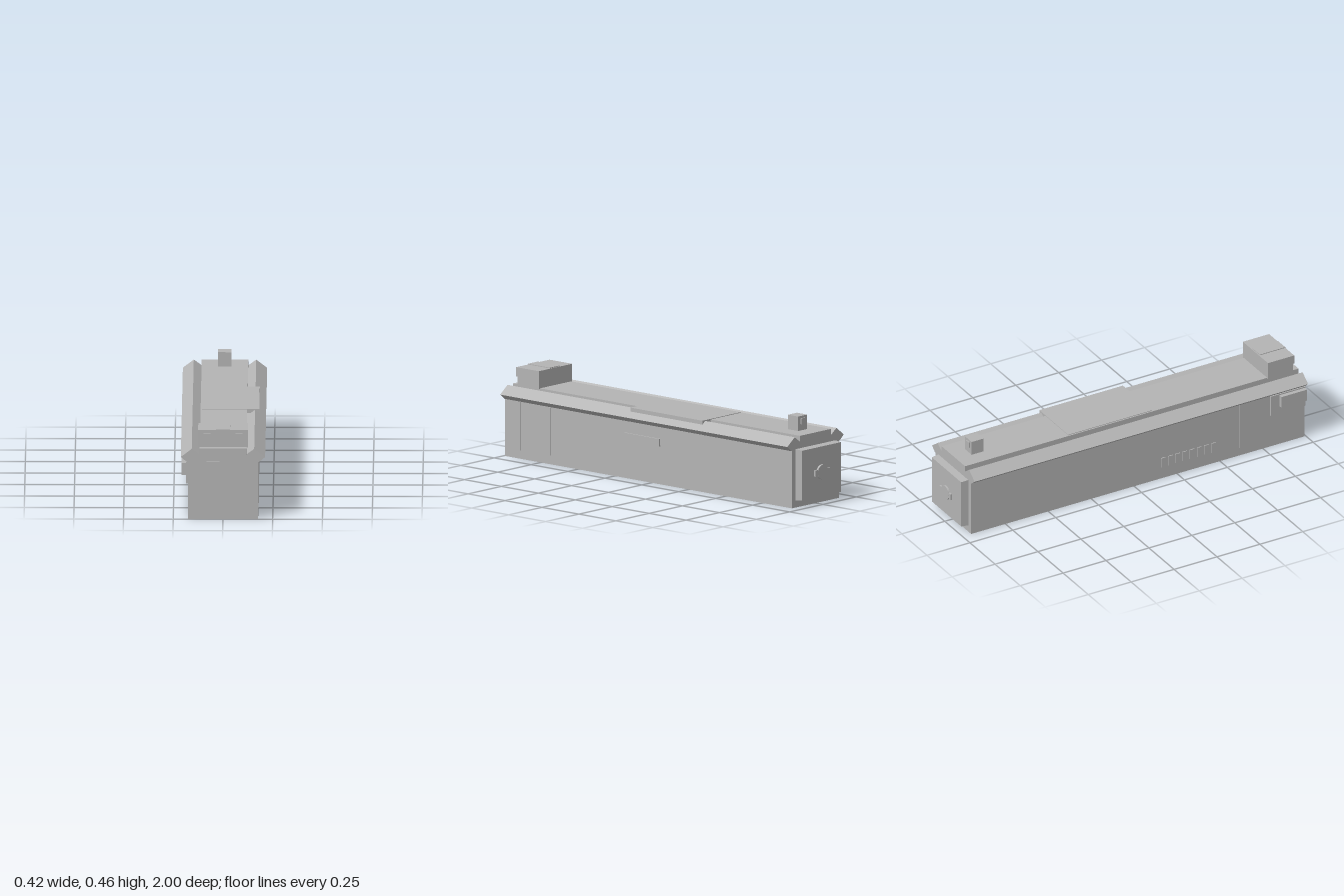
import * as THREE from 'three';

export function createModel() {
  const model = new THREE.Group();
  const grey = new THREE.MeshStandardMaterial({ color: 0xb4b4b4 });
  grey.name = 'matte grey';

  const add = (name, geometry) => {
    const mesh = new THREE.Mesh(geometry, grey);
    mesh.name = name;
    model.add(mesh);
    return mesh;
  };
  // Box given by its limits on each axis
  const box = (name, x0, x1, y0, y1, z0, z1) => {
    const g = new THREE.BoxGeometry(x1 - x0, y1 - y0, z1 - z0);
    g.translate((x0 + x1) / 2, (y0 + y1) / 2, (z0 + z1) / 2);
    return add(name, g);
  };
  const extrude = (points, z0, z1) => {
    const shape = new THREE.Shape(points.map(([x, y]) => new THREE.Vector2(x, y)));
    const g = new THREE.ExtrudeGeometry(shape, { depth: z1 - z0, bevelEnabled: false });
    return g.translate(0, 0, z0);
  };

  // Long body with angled side rails and a flat raised roof
  const half = [
    [0.177, 0], [0.177, 0.293], [0.185, 0.297], [0.212, 0.32],
    [0.157, 0.362], [0.117, 0.333], [0.117, 0.363],
  ];
  const mirrored = half.map(([x, y]) => [-x, y]).reverse();
  add('body', extrude([...half, ...mirrored], -0.95, 0.993));

  // Front panel
  box('frontPanel', -0.083, 0.083, 0.028, 0.298, 0.99, 1);

  // Back block with bevelled rim
  const back = box('backBlock', -0.15, 0.15, 0.036, 0.3, -0.99, -0.945);
  const p = back.geometry.attributes.position;
  for (let i = 0; i < p.count; i++) {
    if (p.getZ(i) < -0.98) {
      p.setX(i, p.getX(i) * 0.97);
      p.setY(i, 0.168 + (p.getY(i) - 0.168) * 0.97);
    }
  }
  back.geometry.computeVertexNormals();

  // Round boss with two tabs on the back
  const boss = new THREE.CylinderGeometry(0.038, 0.038, 0.012, 20);
  boss.rotateX(Math.PI / 2).translate(0, 0.167, -0.994);
  add('backBoss', boss);
  box('backBossTabs', -0.055, 0.055, 0.15, 0.182, -0.999, -0.985);

  // Large sight block with raised centre and two dots
  box('sightBase', -0.125, 0.125, 0.36, 0.405, 0.81, 0.955);
  box('sightTop', -0.125, 0.125, 0.405, 0.452, 0.81, 0.963);
  box('sightRidge', -0.036, 0.036, 0.45, 0.456, 0.815, 0.963);
  for (const s of [-1, 1]) {
    box('sightDot', s * 0.081 - 0.017, s * 0.081 + 0.017, 0.405, 0.436, 0.96, 0.966);
  }

  // Small sight post
  box('smallSight', -0.034, 0.034, 0.36, 0.437, -0.863, -0.793);
  box('smallSightDot', -0.015, 0.015, 0.395, 0.425, -0.868, -0.86);

  // Hatch plate overhanging the right-hand rail, with the panel under it
  box('hatchPlate', -0.11, 0.178, 0.345, 0.366, -0.345, 0.142);
  box('hatchSidePanel', 0.17, 0.179, 0.2, 0.294, -0.345, 0.15);
  box('sideLever', 0.17, 0.187, 0.195, 0.234, -0.06, 0.178);

  // Thin vertical ribs near the front, on the +x side
  for (let i = 0; i < 4; i++) {
    const z = 0.91 - i * 0.1;
    box('sideRib', 0.17, 0.179, 0.044, 0.292, z - 0.025, z + 0.025);
  }

  // Seam, latch and row of slats on the -x side
  box('sideSeam', -0.179, -0.17, 0.044, 0.292, 0.612, 0.62);
  box('latchPlate', -0.187, -0.17, 0.183, 0.294, 0.79, 0.993);
  box('latchBlock', -0.209, -0.18, 0.225, 0.288, 0.84, 0.988);
  for (let i = 0; i < 8; i++) {
    const z = 0.155 + i * 0.042;
    box('slat', -0.182, -0.17, 0.065, 0.118, z, z + 0.026);
  }

  return model;
}
